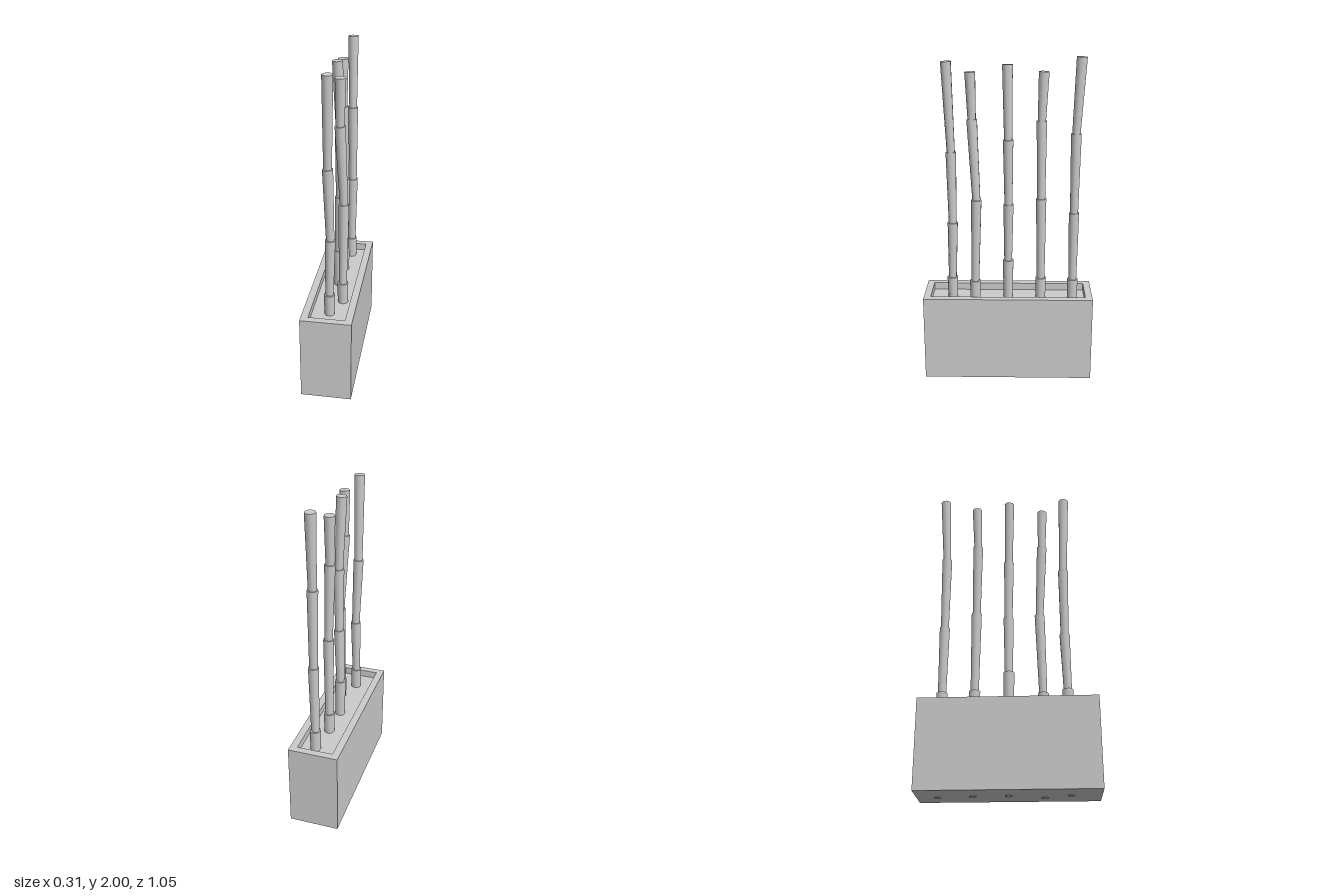
import * as THREE from 'three';

const material = new THREE.MeshStandardMaterial({ color: 0xcccccc });

// Hollow rectangular trough with an open top
function createPlanter() {
  const w = 0.154, d = 0.523, iw = 0.11, id = 0.48, height = 0.54, base = 0.003, soilY = 0.495;
  const planter = new THREE.Group();
  planter.name = 'planter';

  const rect = (path, x, y) =>
    path.moveTo(-x, -y).lineTo(x, -y).lineTo(x, y).lineTo(-x, y).closePath();
  const outline = rect(new THREE.Shape(), w, d);
  outline.holes.push(rect(new THREE.Path(), iw, id));
  const wallGeometry = new THREE.ExtrudeGeometry(outline, { depth: height - base, bevelEnabled: false });
  wallGeometry.rotateX(-Math.PI / 2).translate(0, base, 0);
  const walls = new THREE.Mesh(wallGeometry, material);
  walls.name = 'planterWalls';

  // Soil fills the trough down to its underside
  const soil = new THREE.Mesh(new THREE.BoxGeometry(iw * 2, soilY - base, id * 2), material);
  soil.name = 'soil';
  soil.position.y = (soilY + base) / 2;

  planter.add(walls, soil);
  return planter;
}

// One cane section, narrow at the bottom and flared at the top
function createSection(from, to, bottomRadius, topRadius) {
  const axis = new THREE.Vector3().subVectors(to, from);
  const section = new THREE.Mesh(
    new THREE.CylinderGeometry(topRadius, bottomRadius, axis.length(), 9), material);
  section.name = 'caneSection';
  section.position.addVectors(from, to).multiplyScalar(0.5);
  section.quaternion.setFromUnitVectors(new THREE.Vector3(0, 1, 0), axis.normalize());
  return section;
}

// Joint centres [x, y, z] of each cane, from the foot to the tip
const canes = [
  [[-0.003, 0, 0.35], [-0.003, 0.63, 0.35], [0.002, 0.99, 0.342], [-0.01, 1.43, 0.345], [-0.005, 1.967, 0.363]],
  [[0.055, 0, 0.203], [0.055, 0.63, 0.204], [0.058, 1.152, 0.191], [0.039, 1.638, 0.213], [0.042, 1.913, 0.22]],
  [[0, 0, 0], [-0.003, 0.745, 0], [0.004, 1.11, -0.002], [0.006, 1.51, 0], [-0.009, 1.95, 0.004]],
  [[0.002, 0, -0.203], [0.002, 0.63, -0.204], [0.004, 1.147, -0.201], [-0.007, 1.622, -0.199], [-0.01, 1.91, -0.209]],
  [[0.023, 0, -0.402], [0.023, 0.63, -0.402], [0.027, 1.065, -0.401], [0.024, 1.552, -0.402], [0.02, 1.997, -0.424]],
];

function createCane(joints) {
  const cane = new THREE.Group();
  cane.name = 'bambooCane';
  const points = joints.map((p) => new THREE.Vector3(...p));
  for (let i = 0; i < points.length - 1; i++) {
    const topRadius = i === 0 ? 0.034 : 0.032;
    cane.add(createSection(points[i], points[i + 1], i === 0 ? 0.022 : 0.025, topRadius));
  }
  return cane;
}

export function createModel() {
  const model = new THREE.Group();
  model.name = 'bambooPlanter';
  model.add(createPlanter(), ...canes.map(createCane));
  return model;
}
